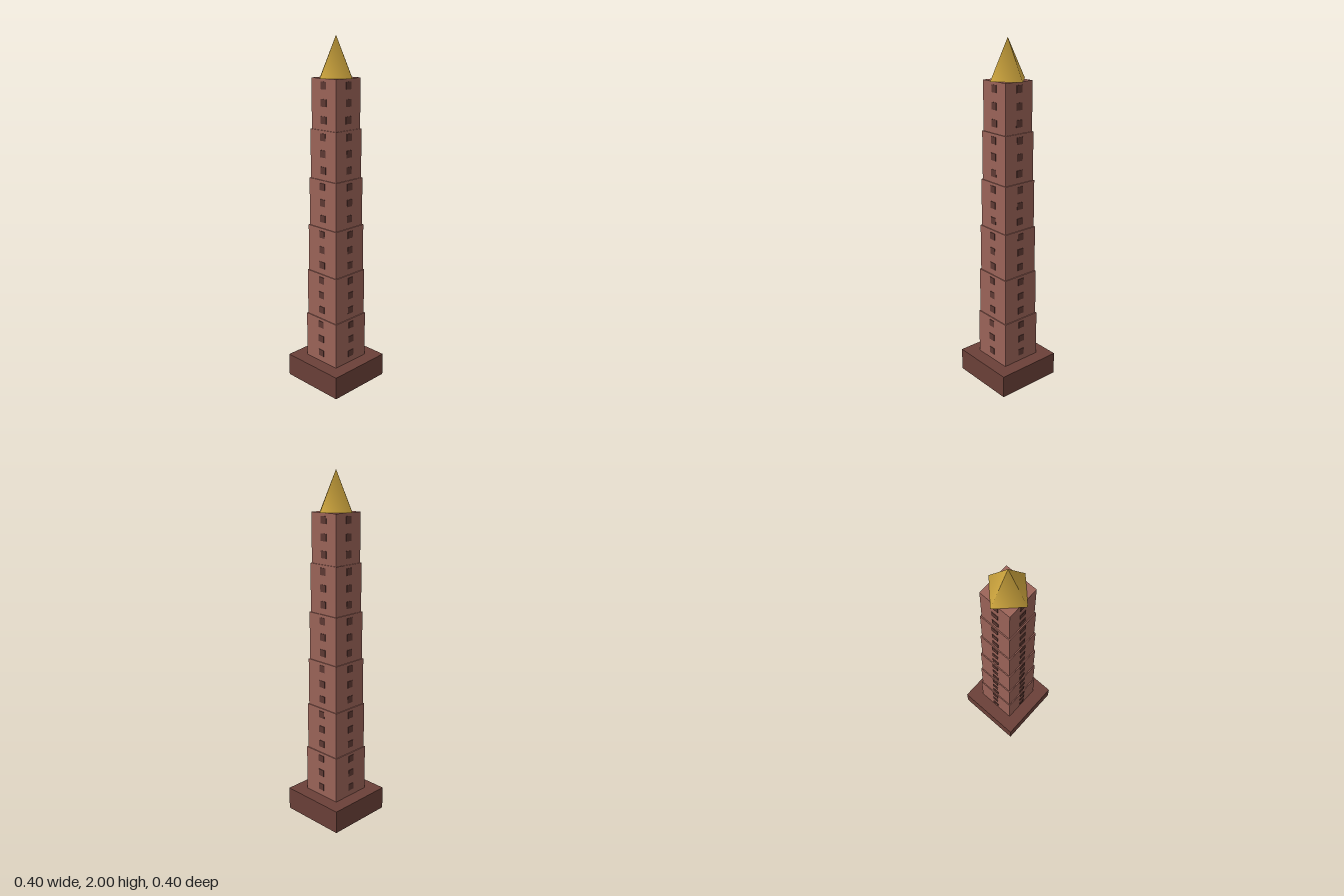
import * as THREE from 'three';

export function createModel() {
  const model = new THREE.Group();
  const material = (color) => new THREE.MeshStandardMaterial({ color });
  const brick = material(0x9c6459);
  const darkBrick = material(0x6b4038);
  const windowDark = material(0x5f3a34);
  const gold = material(0xcaa23c);

  const add = (parent, name, geometry, mat, x, y, z) => {
    const mesh = new THREE.Mesh(geometry, mat);
    mesh.name = name;
    mesh.position.set(x, y, z);
    parent.add(mesh);
    return mesh;
  };

  const baseHeight = 0.135, towerTop = 1.78, tiers = 6, rows = 3;
  const tierHeight = (towerTop - baseHeight) / tiers;

  // Square plinth
  add(model, 'base', new THREE.BoxGeometry(0.4, baseHeight, 0.4), darkBrick, 0, baseHeight / 2, 0);

  // Stepped tiers, each a little narrower, with three windows on every side
  const windowGeometry = new THREE.BoxGeometry(0.04, 0.04, 0.008);
  for (let i = 0; i < tiers; i++) {
    const tier = new THREE.Group();
    tier.name = `tier${i + 1}`;
    tier.position.y = baseHeight + i * tierHeight;
    model.add(tier);

    const half = 0.1215 - i * 0.0057;
    add(tier, 'tierWall', new THREE.BoxGeometry(half * 2, tierHeight, half * 2), brick, 0, tierHeight / 2, 0);

    for (let side = 0; side < 4; side++) {
      const angle = side * Math.PI / 2;
      for (let row = 0; row < rows; row++) {
        const y = (0.2 + row / rows) * tierHeight;
        const pane = add(tier, 'window', windowGeometry, windowDark,
          Math.sin(angle) * (half - 0.001), y, Math.cos(angle) * (half - 0.001));
        pane.rotation.y = angle;
      }
    }
  }

  // Four-sided golden spire, corners facing the tower sides
  const spireHeight = 2 - towerTop;
  add(model, 'spire', new THREE.ConeGeometry(0.121, spireHeight, 4), gold, 0, towerTop + spireHeight / 2, 0);

  return model;
}
